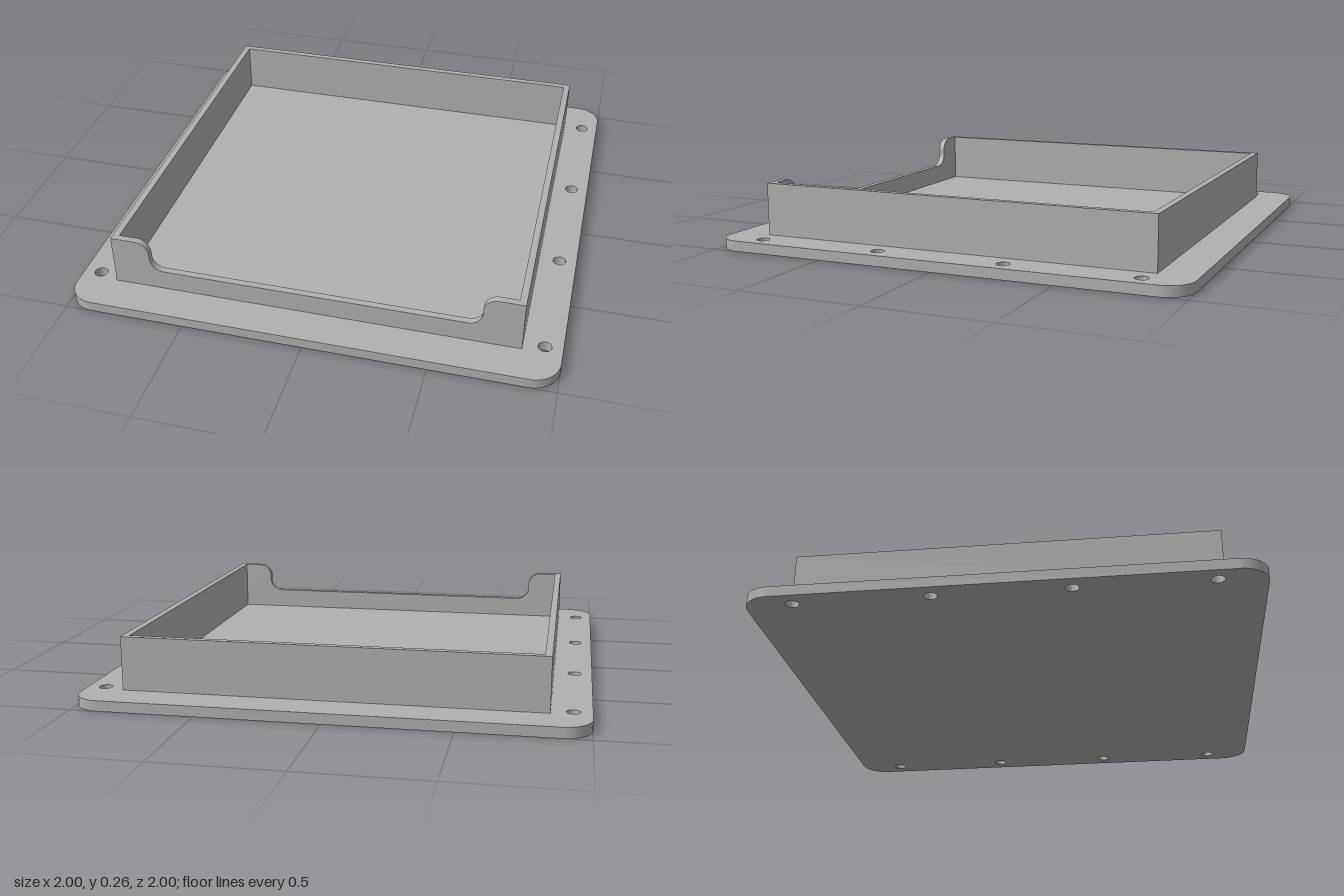
import * as THREE from 'three';
import { toCreasedNormals } from 'three/addons/utils/BufferGeometryUtils.js';

const HALF = 1, CORNER = 0.11, PLATE = 0.043;
const OUTER = 0.843, INNER = 0.815, TOP = 0.262;
const NOTCH_Y = 0.13, NOTCH_X = 0.683, FILLET = 0.057;

// Extrude with sharp edges kept and curved sides smooth
function extrude(shape, depth) {
  const g = new THREE.ExtrudeGeometry(shape, { depth, bevelEnabled: false, curveSegments: 16 });
  return toCreasedNormals(g, 0.6);
}

function addPart(group, name, geometry, material) {
  const mesh = new THREE.Mesh(geometry, material);
  mesh.name = name;
  group.add(mesh);
  return mesh;
}

// Rounded square plate with four screw holes along each side
function plateShape() {
  const c = HALF - CORNER;
  const s = new THREE.Shape();
  s.absarc(c, c, CORNER, 0, Math.PI / 2);
  s.absarc(-c, c, CORNER, Math.PI / 2, Math.PI);
  s.absarc(-c, -c, CORNER, Math.PI, Math.PI * 1.5);
  s.absarc(c, -c, CORNER, Math.PI * 1.5, Math.PI * 2);
  for (const x of [-0.928, 0.928]) {
    for (const z of [-0.81, -0.27, 0.27, 0.81]) {
      s.holes.push(new THREE.Path().absarc(x, z, 0.027, 0, Math.PI * 2, true));
    }
  }
  return s;
}

// Back and side walls in plan (shape y becomes -z)
function sideWallShape() {
  return new THREE.Shape([
    [-OUTER, -INNER], [-INNER, -INNER], [-INNER, INNER], [INNER, INNER],
    [INNER, -INNER], [OUTER, -INNER], [OUTER, OUTER], [-OUTER, OUTER],
  ].map(([x, y]) => new THREE.Vector2(x, y)));
}

// Front wall with a wide filleted notch in its upper edge
function frontWallShape() {
  const s = new THREE.Shape();
  const r = FILLET, q = Math.PI / 2;
  s.moveTo(-OUTER, PLATE);
  s.lineTo(OUTER, PLATE);
  s.lineTo(OUTER, TOP);
  s.absarc(NOTCH_X + r, TOP - r, r, q, 2 * q, false);
  s.absarc(NOTCH_X - r, NOTCH_Y + r, r, 0, -q, true);
  s.absarc(-NOTCH_X + r, NOTCH_Y + r, r, -q, -2 * q, true);
  s.absarc(-NOTCH_X - r, TOP - r, r, 0, q, false);
  s.lineTo(-OUTER, TOP);
  s.closePath();
  return s;
}

export function createModel() {
  const group = new THREE.Group();
  group.name = 'flangedTray';
  const grey = new THREE.MeshStandardMaterial({ color: 0xb0b0b0 });
  grey.name = 'grey';

  const plate = addPart(group, 'basePlate', extrude(plateShape(), PLATE), grey);
  plate.rotation.x = -Math.PI / 2;

  const walls = addPart(group, 'sideAndBackWalls', extrude(sideWallShape(), TOP - PLATE), grey);
  walls.rotation.x = -Math.PI / 2;
  walls.position.y = PLATE;

  const front = addPart(group, 'notchedFrontWall', extrude(frontWallShape(), OUTER - INNER), grey);
  front.position.z = INNER;

  return group;
}
